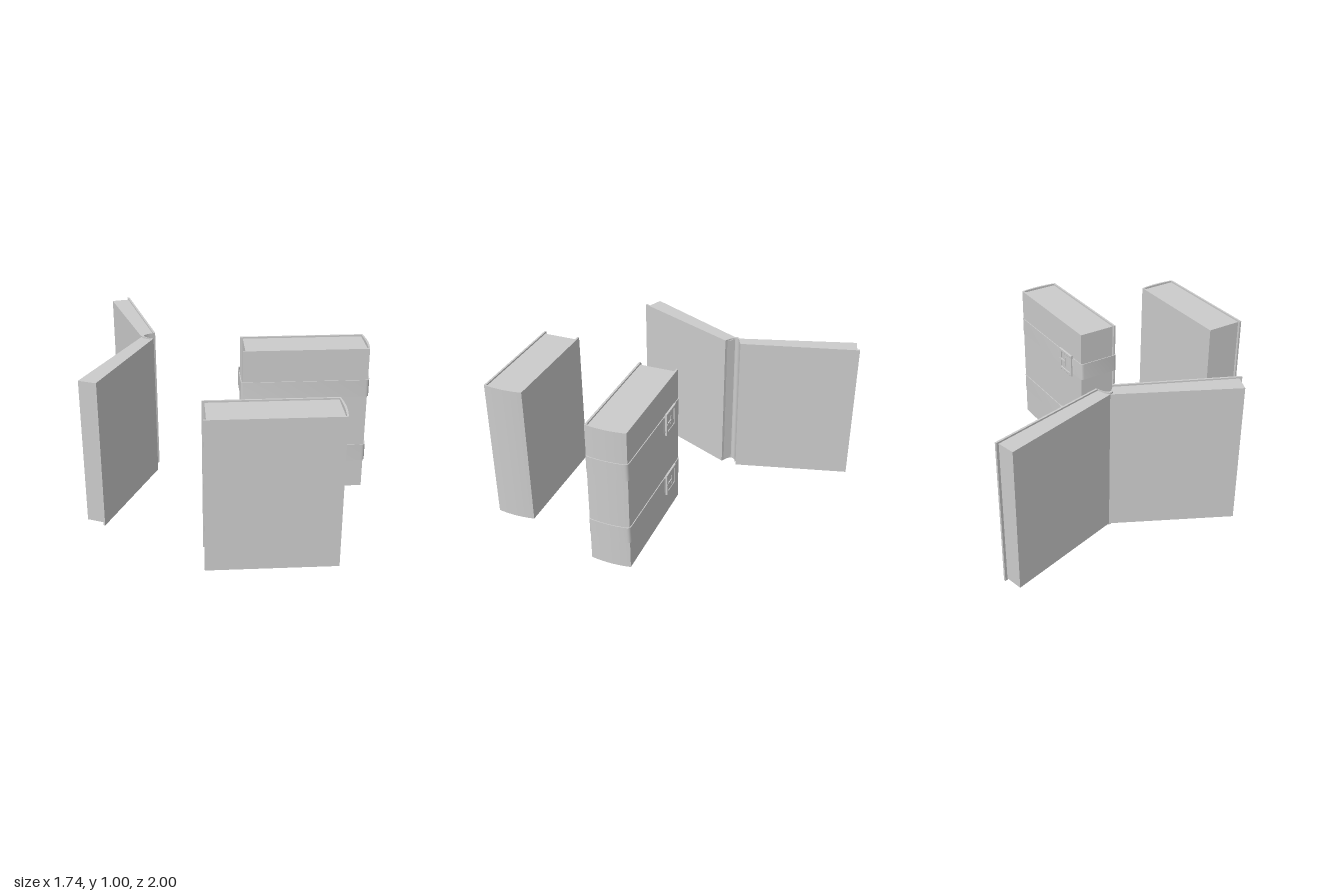
import * as THREE from 'three';
import { toCreasedNormals } from 'three/addons/utils/BufferGeometryUtils.js';

const material = new THREE.MeshStandardMaterial({ color: 0xcccccc, side: THREE.DoubleSide });

// Upright prism over an [x, z] outline, with an optional hole of the same kind
function prism(name, outline, y0, y1, hole) {
  const toPoints = (pts) => pts.map(([x, z]) => new THREE.Vector2(x, -z));
  const shape = new THREE.Shape(toPoints(outline));
  if (hole) shape.holes.push(new THREE.Path(toPoints(hole)));
  const geo = new THREE.ExtrudeGeometry(shape, { depth: y1 - y0, bevelEnabled: false });
  geo.rotateX(-Math.PI / 2).translate(0, y0, 0);
  const mesh = new THREE.Mesh(toCreasedNormals(geo, 0.6), material);
  mesh.name = name;
  return mesh;
}

function box(name, x0, x1, y0, y1, z0, z1) {
  return prism(name, [[x0, z0], [x1, z0], [x1, z1], [x0, z1]], y0, y1);
}

// Points of a quadratic bend from a to b
function bend(a, control, b, steps = 10) {
  const [p, c, q] = [a, control, b].map(([x, z]) => new THREE.Vector2(x, z));
  return new THREE.QuadraticBezierCurve(p, c, q).getPoints(steps).map((v) => [v.x, v.y]);
}

const W = 0.763, H = 0.936, HALF = 0.126, BOARD = 0.012;

// Shut book, fore edge at x = 0, spine toward +x, centred on z = 0
function closedBook(name) {
  const book = new THREE.Group();
  book.name = name;
  for (const s of [-1, 1]) {
    const a = s * HALF, b = s * (HALF - BOARD);
    book.add(box('coverBoard', 0, W, 0, H, Math.min(a, b), Math.max(a, b)));
    book.add(box('pageBlock', 0.016, W - 0.008, 0.01, H - 0.01, Math.min(0, b), Math.max(0, b)));
  }
  const outer = bend([W, -HALF], [W + 0.024, 0], [W, HALF]);
  const inner = bend([W - 0.008, HALF], [W + 0.006, 0], [W - 0.008, -HALF]);
  book.add(prism('spine', [...outer, ...inner], 0, H));
  return book;
}

// Loop around the book: rounded fore edge corners, bowed over the spine
function strapOutline(g) {
  const x0 = -0.006 - g, x1 = W + 0.002 + g, z = HALF + g, r = 0.022;
  return [
    ...bend([x0 + r, z], [x0, z], [x0, z - r], 4),
    ...bend([x0, r - z], [x0, -z], [x0 + r, -z], 4),
    ...bend([x1 - r, -z], [x1, -z], [x1 + 0.003, r - z], 4),
    ...bend([x1 + 0.003, r - z], [x1 + 0.019, 0], [x1 + 0.003, z - r], 8),
    ...bend([x1 + 0.003, z - r], [x1, z], [x1 - r, z], 4),
  ];
}

// Square frame with pin, keeper bar and raised strap tail on the back cover
function buckle(y) {
  const group = new THREE.Group();
  group.name = 'buckle';
  const z = -HALF - 0.006, x0 = 0.095, x1 = 0.235, h = 0.07, t = 0.014;
  const rect = (C, a, b, c, d) => new C([[a, c], [b, c], [b, d], [a, d]].map((p) => new THREE.Vector2(...p)));
  const shape = rect(THREE.Shape, x0, x1, -h, h);
  shape.holes.push(rect(THREE.Path, x0 + t, x1 - t, t - h, h - t));
  const frame = new THREE.Mesh(new THREE.ExtrudeGeometry(shape, {
    depth: 0.008, bevelSize: 0.003, bevelThickness: 0.003, bevelSegments: 2,
  }), material);
  frame.name = 'buckleFrame';
  frame.position.set(0, y, z - 0.013);
  group.add(frame);
  group.add(box('bucklePin', 0.165, x1, y - 0.005, y + 0.005, z - 0.018, z - 0.01));
  group.add(box('buckleBar', 0.16, 0.17, y - 0.03, y + 0.03, z - 0.016, z - 0.008));
  const top = bend([0.075, z], [0.13, z - 0.022], [0.235, z - 0.006]);
  group.add(prism('strapTail', [...top, [0.25, z]], y - 0.053, y + 0.053));
  return group;
}

// One half of the open book: board outside, tapered page block inside
function openHalf(hinge, tip, pageTip, gutter) {
  const half = new THREE.Group();
  half.name = 'openHalf';
  const h = new THREE.Vector2(...hinge), t = new THREE.Vector2(...tip);
  const along = t.clone().sub(h).normalize();
  const inward = new THREE.Vector2(-along.y, along.x);
  if (inward.x > 0) inward.negate();
  const at = (p, d, a = 0) => p.clone().addScaledVector(inward, d).addScaledVector(along, a).toArray();
  half.add(prism('coverBoard', [at(h, 0), at(t, 0), at(t, BOARD), at(h, BOARD)], 0.018, 0.955));
  half.add(prism('pageBlock', [at(h, BOARD), at(t, BOARD, -0.016), pageTip, gutter], 0.028, 0.945));
  return half;
}

export function createModel() {
  const model = new THREE.Group();
  model.name = 'books';

  // Plain book at the front
  const plain = closedBook('plainBook');
  plain.position.set(-0.18, 0, 0.874);
  model.add(plain);

  // Strapped book behind it
  const strapped = closedBook('strappedBook');
  for (const y of [0.24, 0.68]) {
    strapped.add(prism('strap', strapOutline(0.006), y - 0.055, y + 0.055, strapOutline(0.001)));
    strapped.add(buckle(y));
  }
  strapped.position.set(0.088, 0.064, 0.078);
  model.add(strapped);

  // Open book standing on its lower edge, spine toward +x
  const open = new THREE.Group();
  open.name = 'openBook';
  open.add(openHalf([-0.44, -0.27], [-0.63, -1], [-0.745, -0.957], [-0.525, -0.227]));
  open.add(openHalf([-0.449, -0.166], [-0.763, 0.522], [-0.87, 0.46], [-0.525, -0.227]));
  const fold = bend([-0.444, -0.266], [-0.57, -0.226], [-0.453, -0.168]);
  const back = bend([-0.457, -0.174], [-0.585, -0.226], [-0.448, -0.261]);
  open.add(prism('foldedSpine', [...fold, ...back.map(([x, z]) => [x - 0.006, z])], 0.018, 0.955));
  model.add(open);

  return model;
}
